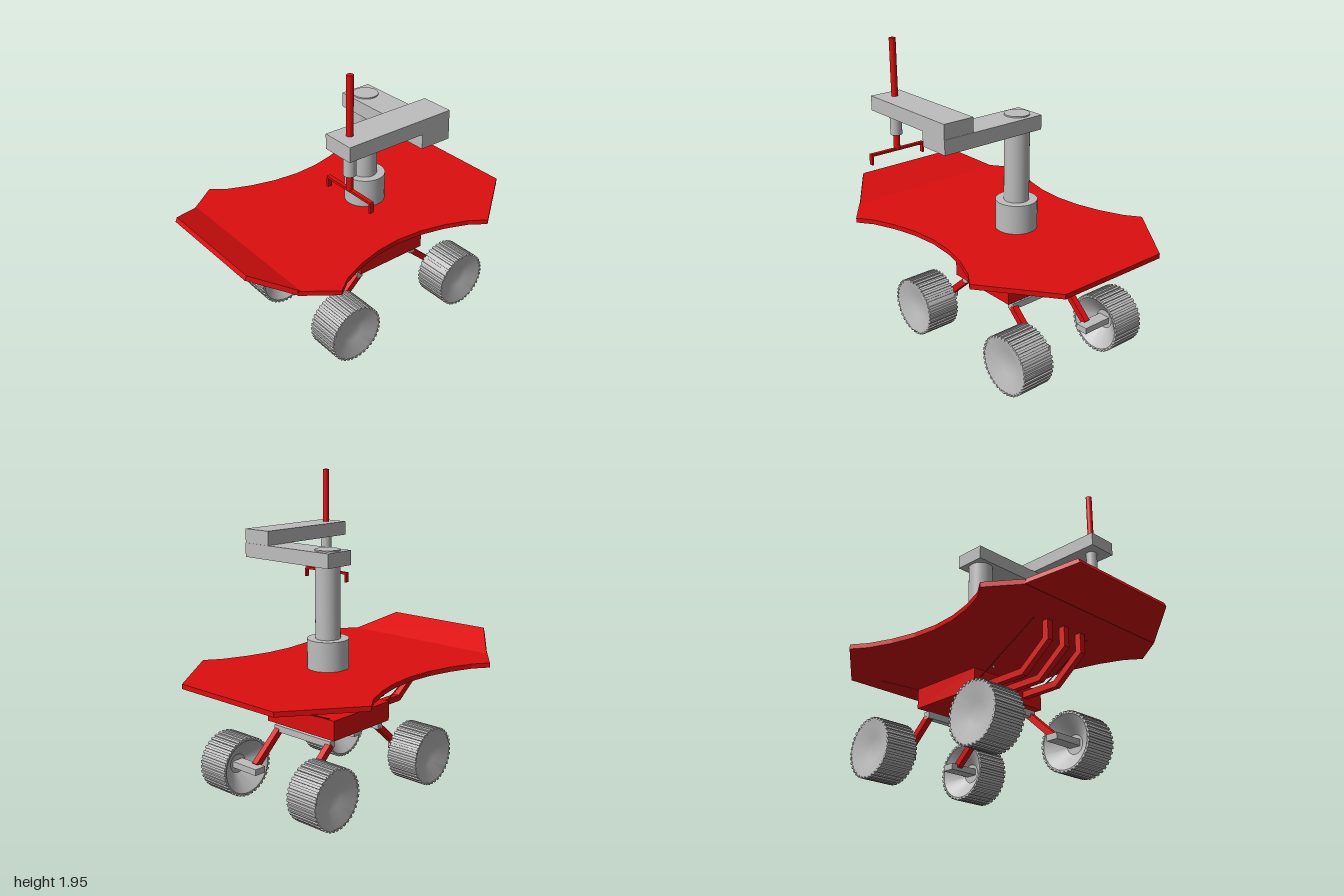
import * as THREE from 'three';
import { toCreasedNormals } from 'three/addons/utils/BufferGeometryUtils.js';

const red = new THREE.MeshStandardMaterial({ color: 0xdc0e0e });
red.name = 'red paint';
const grey = new THREE.MeshStandardMaterial({ color: 0xbebebe });
grey.name = 'grey metal';

export function createModel() {
  const model = new THREE.Group();
  model.name = 'rover';

  const add = (name, geometry, material, x = 0, y = 0, z = 0, parent = model) => {
    const mesh = new THREE.Mesh(geometry, material);
    mesh.name = name;
    mesh.position.set(x, y, z);
    parent.add(mesh);
    return mesh;
  };
  // Box given by its minimum and maximum on each axis
  const box = (name, material, [x0, x1], [y0, y1], [z0, z1]) =>
    add(name, new THREE.BoxGeometry(x1 - x0, y1 - y0, z1 - z0), material,
      (x0 + x1) / 2, (y0 + y1) / 2, (z0 + z1) / 2);
  // Upright cylinder between two heights
  const post = (name, material, r, y0, y1, x, z) =>
    add(name, new THREE.CylinderGeometry(r, r, y1 - y0, 32), material, x, (y0 + y1) / 2, z);
  // Bar or rod between two points
  const link = (name, material, a, b, size, round) => {
    const from = new THREE.Vector3(...a), to = new THREE.Vector3(...b);
    const dir = to.clone().sub(from), len = dir.length();
    const geometry = round ? new THREE.CylinderGeometry(size / 2, size / 2, len, 8)
      : new THREE.BoxGeometry(size, len, size);
    const mesh = add(name, geometry, material);
    mesh.position.copy(from).add(to).multiplyScalar(0.5);
    mesh.quaternion.setFromUnitVectors(new THREE.Vector3(0, 1, 0), dir.normalize());
    return mesh;
  };
  // Horizontal plate whose top lies at y = 0, from an x-z outline
  const plate = (points) => {
    const shape = new THREE.Shape(points.map(([x, z]) => new THREE.Vector2(x, z)));
    return new THREE.ExtrudeGeometry(shape, { depth: 0.03, bevelEnabled: false }).rotateX(Math.PI / 2);
  };

  // Deck with concave sides
  const side = [[0.38, -1], [0.7, -0.58], [0.63, -0.48], [0.57, -0.33], [0.53, -0.17], [0.515, 0],
    [0.53, 0.17], [0.57, 0.33], [0.63, 0.48], [0.7, 0.575], [0.555, 0.768]];
  const outline = [...side, ...side.map(([x, z]) => [-x, z]).reverse()];
  add('deck', plate(outline), red, 0, 0.785, 0);

  // Raised front lip
  const lip = plate([[0.558, 0], [0.38, 0.253], [-0.38, 0.253], [-0.558, 0]]);
  add('frontLip', lip, red, 0, 0.785, 0.755).rotation.x = -0.428;

  // Arm on its column
  post('columnBase', grey, 0.13, 0.785, 0.97, 0, -0.165);
  post('column', grey, 0.078, 0.97, 1.518, 0, -0.165);
  box('lowerArm', grey, [-0.1, 0.615], [1.42, 1.51], [-0.27, -0.065]);
  box('upperArm', grey, [0.41, 0.615], [1.51, 1.6], [-0.267, 0.455]);

  // Sliding rod and gripper
  const gx = 0.505, gz = 0.366;
  post('rodSleeve', grey, 0.036, 1.36, 1.51, gx, gz);
  post('slidingRod', red, 0.02, 1.265, 1.95, gx, gz);
  box('gripperBar', red, [gx - 0.19, gx + 0.19], [1.257, 1.272], [gz - 0.012, gz + 0.012]);
  for (const s of [-1, 1]) {
    box('gripperFinger', red, [gx + s * 0.184 - 0.006, gx + s * 0.184 + 0.006],
      [1.205, 1.26], [gz - 0.014, gz + 0.014]);
  }

  // Hull under the deck with its lower spine
  box('hull', red, [-0.28, 0.28], [0.435, 0.56], [-0.42, 0.09]);
  box('spine', red, [-0.05, 0.05], [0.375, 0.415], [-0.315, -0.015]);
  for (const z of [-0.295, -0.03]) post('spinePin', red, 0.005, 0.41, 0.44, 0, z);
  add('smallBall', new THREE.SphereGeometry(0.008, 12, 8), grey, 0, 0.68, -0.04);

  // Three bent struts from the hull to the deck (profile in z-y)
  const profile = new THREE.Shape([[0.09, 0.475], [0.355, 0.475], [0.56, 0.632], [0.56, 0.756],
    [0.52, 0.756], [0.52, 0.652], [0.342, 0.515], [0.09, 0.515]].map((p) => new THREE.Vector2(...p)));
  for (const x of [-0.14, 0, 0.14]) {
    const strut = new THREE.ExtrudeGeometry(profile, { depth: 0.04, bevelEnabled: false });
    add('frontStrut', strut.translate(0, 0, -0.02).rotateY(-Math.PI / 2), red, x, 0, 0);
  }

  // Stay wires
  for (const x of [-0.23, 0.23]) {
    link('frontStay', red, [x, 0.757, 0.52], [x, 0.515, 0.085], 0.008, true);
    link('rearStay', red, [x, 0.757, -0.87], [x, 0.558, -0.405], 0.008, true);
  }

  // Wheel: dished drum with tread bars, axis along y, outer face at +y
  const drum = toCreasedNormals(new THREE.LatheGeometry([[0, -0.02], [0.06, -0.02], [0.17, -0.108],
    [0.18, -0.108], [0.18, 0.108], [0.172, 0.108], [0.07, 0.07], [0, 0.07]]
    .map((p) => new THREE.Vector2(...p)), 40), 0.4);
  const tread = new THREE.BoxGeometry(0.016, 0.22, 0.016);
  const makeWheel = () => {
    const wheel = new THREE.Group();
    wheel.name = 'wheel';
    add('drum', drum, grey, 0, 0, 0, wheel);
    for (let i = 0; i < 36; i++) {
      const a = (i / 36) * Math.PI * 2;
      add('tread', tread, grey, 0.18 * Math.cos(a), 0, 0.18 * Math.sin(a), wheel).rotation.y = -a;
    }
    return wheel;
  };

  // Suspension, front and rear
  for (const d of [1, -1]) {
    const zBar = -0.163 + d * 0.223, zWheel = -0.163 + d * 0.452;
    box('crossBar', grey, [-0.235, 0.235], [0.375, 0.417], [zBar - 0.021, zBar + 0.021]);
    for (const s of [-1, 1]) {
      link('leg', red, [s * 0.215, 0.388, zBar], [s * 0.215, 0.205, zWheel - d * 0.025], 0.04);
      add('axle', new THREE.BoxGeometry(0.22, 0.04, 0.08), grey, s * 0.26, 0.192, zWheel);
      const wheel = makeWheel();
      wheel.position.set(s * 0.375, 0.188, zWheel);
      wheel.rotation.z = -s * Math.PI / 2;
      model.add(wheel);
    }
  }
  return model;
}
